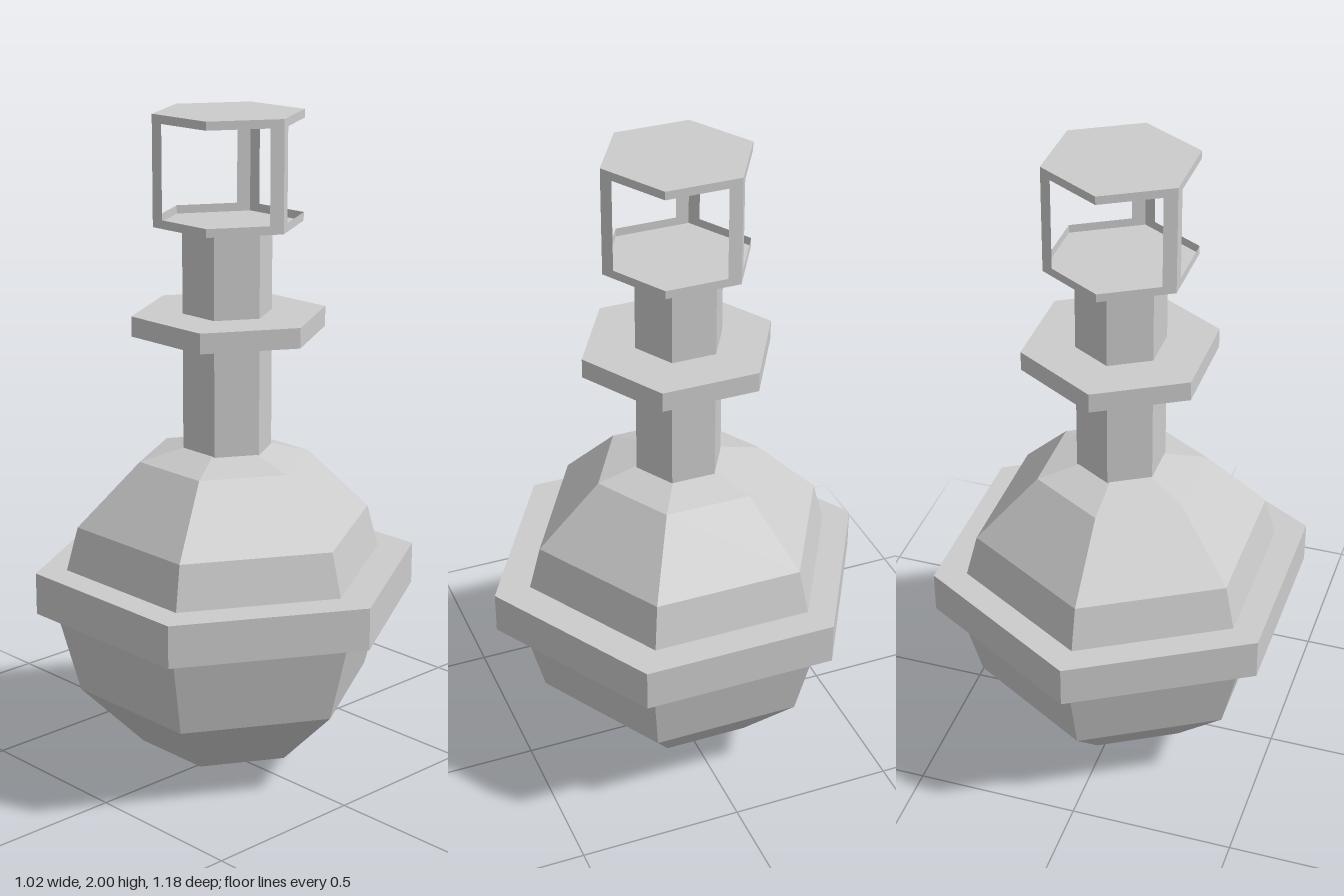
import * as THREE from 'three';

export function createModel() {
  const group = new THREE.Group();
  const solid = new THREE.MeshStandardMaterial({ color: 0xcccccc, flatShading: true });
  const thin = new THREE.MeshStandardMaterial({ color: 0xcccccc, flatShading: true, side: THREE.DoubleSide });

  function add(parent, name, geometry, material, x = 0, y = 0, z = 0) {
    const mesh = new THREE.Mesh(geometry, material);
    mesh.name = name;
    mesh.position.set(x, y, z);
    parent.add(mesh);
    return mesh;
  }

  // Upright hexagonal prism between two heights, corners on the z axis
  function hexPrism(name, radius, y0, y1, x, z) {
    add(group, name, new THREE.CylinderGeometry(radius, radius, y1 - y0, 6), solid, x, (y0 + y1) / 2, z);
  }

  // Faceted body, its belt, the neck and the collar
  add(group, 'body', new THREE.SphereGeometry(0.52, 6, 6, Math.PI / 2), solid, -0.003, 0.52, -0.01);
  hexPrism('belt', 0.588, 0.52, 0.648, 0, 0);
  hexPrism('neck', 0.135, 0.96, 1.675, 0.003, -0.005);
  hexPrism('collar', 0.293, 1.355, 1.415, 0.006, 0);

  // Open mouth cage: thin floor, roof and six walls with windows
  const cage = new THREE.Group();
  cage.name = 'cage';
  cage.position.set(0.004, 1.675, 0);
  group.add(cage);
  const radius = 0.225, height = 0.325, rim = 0.025, post = 0.04;

  for (const [name, y] of [['cageFloor', 0], ['cageRoof', height]]) {
    const plate = add(cage, name, new THREE.CircleGeometry(radius, 6, Math.PI / 2), thin, 0, y, 0);
    plate.rotation.x = -Math.PI / 2;
  }

  // C-shaped wall: a post at one end and rims above and below the window
  const h = radius / 2;
  const wall = new THREE.ShapeGeometry(new THREE.Shape([
    [-h, 0], [h, 0], [h, rim], [post - h, rim],
    [post - h, height - rim], [h, height - rim], [h, height], [-h, height],
  ].map(([x, y]) => new THREE.Vector2(x, y))));
  const apothem = radius * Math.cos(Math.PI / 6);

  // Neighbouring walls are mirrored so their posts meet at every other corner
  for (let i = 0; i < 6; i++) {
    const a = Math.PI / 6 + i * Math.PI / 3;
    const mesh = add(cage, 'cageWall', wall, thin, Math.sin(a) * apothem, 0, Math.cos(a) * apothem);
    mesh.rotation.y = a;
    mesh.scale.x = i % 2 ? -1 : 1;
  }

  return group;
}
